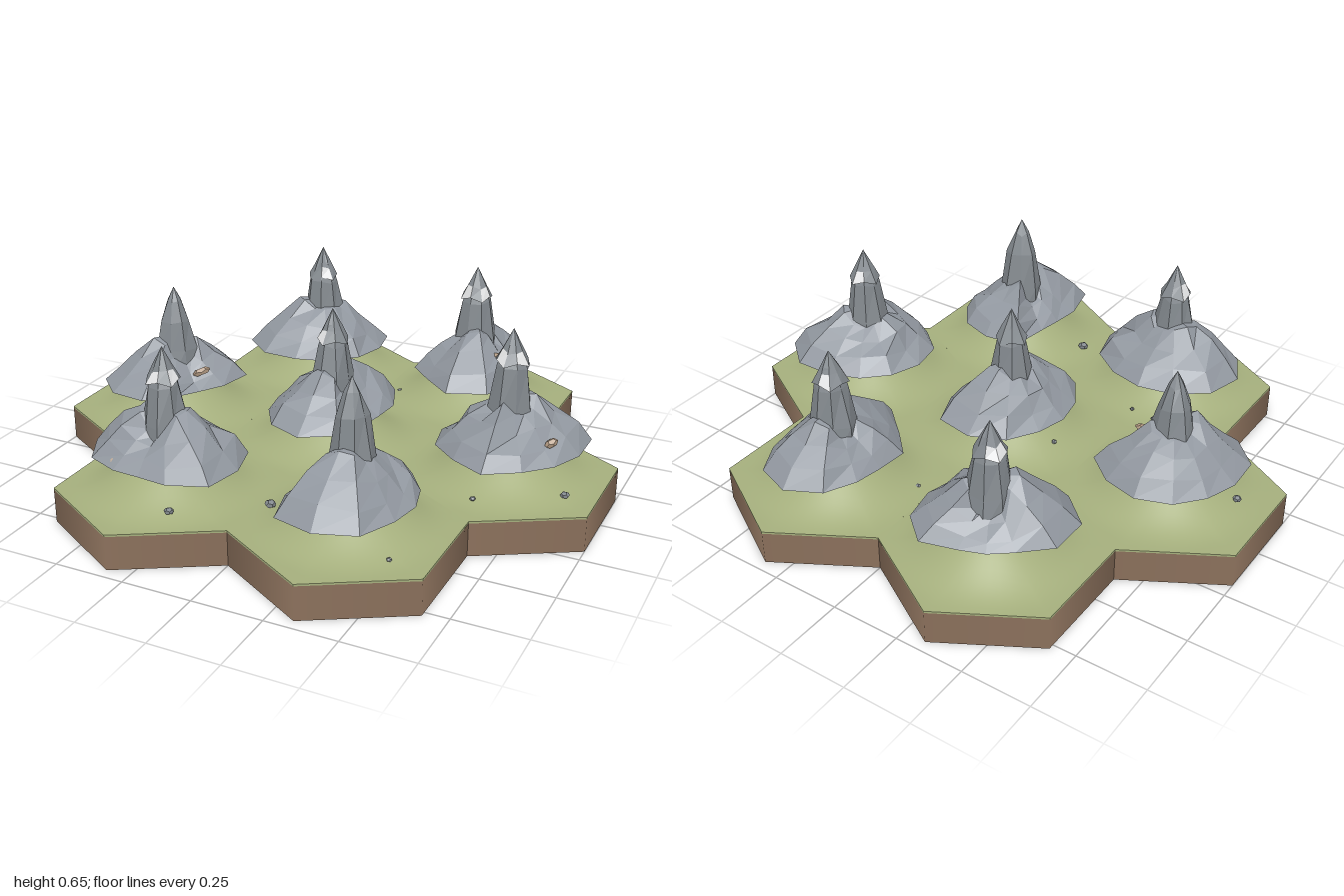
import * as THREE from 'three';
import { toCreasedNormals } from 'three/addons/utils/BufferGeometryUtils.js';

const mat = (name, color) => Object.assign(new THREE.MeshStandardMaterial({ color }), { name });
const soil = mat('soil', 0x8e735e);
const grass = mat('grass', 0xa5af7d);
const rock = mat('rock', 0x9298a0);
const spireRock = mat('spireRock', 0x83898e);
const snow = mat('snow', 0xe4e5e6);
const tan = mat('tanStone', 0xb39a82);

const TAU = Math.PI * 2, APOTHEM = 1 / 3, RADIUS = APOTHEM / Math.cos(Math.PI / 6);
const TOP = 0.12;

// Each tile: hex centre, peak position, peak height, skirt radii every 30 degrees
// (from +x towards +z), and which spire faces hold snow
const tiles = [
  { hex: [-1, -1], peak: [-0.33, -0.6], tip: 0.625, snow: [1, 4, 5],
    skirt: [25, 25, 25, 25, 28, 29, 25, 18, 17, 18, 25, 26] },
  { hex: [1, -1], peak: [0.32, -0.59], tip: 0.64, snow: [0, 2, 5],
    skirt: [21, 24, 28, 30, 23, 23, 19, 20, 24, 27, 26, 22] },
  { hex: [-2, 0], peak: [-0.65, 0], tip: 0.6, snow: [],
    skirt: [20, 17, 19, 25, 27, 27, 24, 23, 24, 25, 25, 26] },
  { hex: [0, 0], peak: [0, 0], tip: 0.62, snow: [1],
    skirt: [18, 19, 24, 28, 26, 23, 22, 22, 25, 27, 28, 22] },
  { hex: [2, 0], peak: [0.66, 0], tip: 0.655, snow: [1, 3, 6],
    skirt: [25, 23, 23, 27, 24, 25, 24, 23, 23, 24, 28, 29] },
  { hex: [-1, 1], peak: [-0.33, 0.585], tip: 0.63, snow: [0, 2, 4],
    skirt: [27, 28, 22, 18, 20, 25, 28, 28, 26, 25, 25, 27] },
  { hex: [1, 1], peak: [0.335, 0.56], tip: 0.64, snow: [],
    skirt: [22, 23, 28, 29, 29, 21, 17, 18, 27, 25, 24, 22] },
];

// Small seeded generator, returning -1..1
function seeded(seed) {
  let s = seed * 7919 + 17;
  return () => ((s = (s * 16807) % 2147483647) / 2147483647) * 2 - 1;
}

// Faceted skin over rings of points, listed from bottom to top
function loft(rings, keep = () => true) {
  const pos = [], n = rings[0].length;
  const tri = (a, b, c) => {
    const ab = b.clone().sub(a), ac = c.clone().sub(a);
    if (ab.cross(ac).lengthSq() > 1e-16) for (const p of [a, b, c]) pos.push(p.x, p.y, p.z);
  };
  for (let i = 0; i < rings.length - 1; i++) for (let k = 0; k < n; k++) {
    if (!keep(k)) continue;
    const m = (k + 1) % n, [a, b] = [rings[i][k], rings[i][m]], [d, c] = [rings[i + 1][k], rings[i + 1][m]];
    tri(a, d, b);
    tri(b, d, c);
  }
  const g = new THREE.BufferGeometry();
  g.setAttribute('position', new THREE.Float32BufferAttribute(pos, 3));
  g.computeVertexNormals();
  return g;
}

// Ring of n points; radius and height may depend on index and angle
function ring(n, radius, height, turn = 0) {
  return Array.from({ length: n }, (_, k) => {
    const t = (k / n) * TAU + turn, r = radius(k, t);
    const p = new THREE.Vector3(Math.cos(t) * r, 0, Math.sin(t) * r);
    p.y = height(k, p);
    return p;
  });
}

function add(parent, name, geometry, material, x = 0, y = 0, z = 0) {
  const m = new THREE.Mesh(geometry, material);
  m.name = name;
  m.position.set(x, y, z);
  parent.add(m);
  return m;
}

// Grass sheet of one tile: hexagon with a smooth round hill below the peak
function meadow(dx, dz) {
  const hexR = t => APOTHEM / Math.cos(((t + Math.PI / 6) % (TAU / 6)) - Math.PI / 6);
  const hill = p => {
    const d = Math.min(1, Math.hypot(p.x - dx, p.z - dz) / 0.325);
    return TOP + 0.007 + 0.0625 * (1 + Math.cos(Math.PI * d));
  };
  const rings = [ring(48, (k, t) => hexR(t), () => TOP)];
  for (let i = 0; i <= 14; i++) {
    const f = 1 - i / 14;
    rings.push(ring(48, (k, t) => hexR(t) * f, (k, p) => hill(p)));
  }
  return toCreasedNormals(loft(rings), 0.6);
}

// Broad faceted rock skirt with a flat underside, lower where it is narrow
function skirt(radii, rnd) {
  const n = radii.length, y0 = 0.24;
  const profile = [[1, 0], [0.8, 0.055], [0.56, 0.105], [0.32, 0.15], [0, 0.175]];
  const rings = [ring(n, () => 0, () => y0)];
  for (const [f, h] of profile) {
    const inner = f < 1 && f > 0;
    rings.push(ring(n,
      k => (radii[k] / 100) * f * (inner ? 1 + 0.07 * rnd() : 1),
      k => y0 + (f ? h * Math.min(1.15, (radii[k] / 25) ** 1.4) : h) + (inner ? 0.012 * rnd() : 0)));
  }
  return loft(rings);
}

// Steep tapering spire, with an overhanging ragged cap where there is snow
function addSpire(group, tip, snowFaces, rnd) {
  const n = 8, turn = rnd();
  const level = (r, y, j = 0.1) => ring(n, () => r * (1 + j * rnd()), () => y + 0.008 * rnd(), turn);
  const point = ring(n, () => 0, () => tip);
  const capped = snowFaces.length > 0;
  const body = [level(0.088, 0.26), level(0.076, 0.37), level(0.054, tip - 0.13)];
  add(group, 'spire', loft([...body, level(0.026, tip - 0.055), point]), spireRock);
  if (!capped) return;
  const rim = ring(n, k => 0.055 + 0.008 * (k % 2), k => tip - 0.108 - 0.014 * (k % 2), turn);
  const neck = level(0.037, tip - 0.075, 0.06);
  const under = ring(n, () => 0.04, () => tip - 0.1, turn);
  add(group, 'capRock', loft([under, rim, neck, point], k => !snowFaces.includes(k)), spireRock);
  add(group, 'capSnow', loft([under, rim, neck], k => snowFaces.includes(k)), snow);
  add(group, 'capUpper', loft([neck, point], k => snowFaces.includes(k)), spireRock);
}

export function createModel() {
  const model = new THREE.Group();
  model.name = 'hexMountainTerrain';

  tiles.forEach((t, i) => {
    const rnd = seeded(i + 3), tile = new THREE.Group();
    tile.name = 'tile' + (i + 1);
    const x = t.hex[0] * APOTHEM, z = t.hex[1] * RADIUS * 1.5, [px, pz] = t.peak;
    add(tile, 'soilBase', new THREE.CylinderGeometry(RADIUS, RADIUS, TOP, 6), soil, x, TOP / 2, z);
    add(tile, 'meadow', meadow(px - x, pz - z), grass, x, 0, z);

    const mountain = new THREE.Group();
    mountain.name = 'mountain';
    mountain.position.set(px, 0, pz);
    add(mountain, 'rockSkirt', skirt(t.skirt, rnd), rock);
    addSpire(mountain, t.tip, t.snow, rnd);
    tile.add(mountain);
    model.add(tile);
  });

  // Tan stones lying on the skirts: x, y, z, length, turn
  [[-0.52, 0.3, 0.04, 0.07, 0.7], [0.43, 0.33, -0.5, 0.08, 0.1], [0.06, 0.31, 0.09, 0.05, 1.2],
    [0.83, 0.3, 0.065, 0.05, 0.9], [-0.44, 0.31, 0.635, 0.05, 0.3], [-0.45, 0.25, 0.72, 0.03, 0.5],
  ].forEach(([x, y, z, len, turn]) => {
    const s = add(model, 'tanStone', new THREE.DodecahedronGeometry(0.5), tan, x, y, z);
    s.scale.set(len, 0.03, 0.03);
    s.rotation.set(0.2, turn, 0.2);
  });

  // Pebbles scattered over the grass: x, y, z, radius
  [[0.06, 0.13, -0.48, 0.01], [0.465, 0.15, -0.34, 0.02], [0.635, 0.145, 0.265, 0.01],
    [0.9, 0.145, 0.11, 0.016], [0.06, 0.15, 0.59, 0.019], [-0.41, 0.14, 0.315, 0.008],
    [-0.32, 0.145, 0.32, 0.008], [-0.2, 0.16, 0.79, 0.016], [0.54, 0.14, 0.73, 0.009],
    [-0.21, 0.165, -0.04, 0.01], [-0.89, 0.165, 0.03, 0.015],
  ].forEach(([x, y, z, r], i) => {
    const p = add(model, 'pebble', new THREE.DodecahedronGeometry(r), spireRock, x, y, z);
    p.scale.y = 0.75;
    p.rotation.y = i;
  });

  return model;
}
